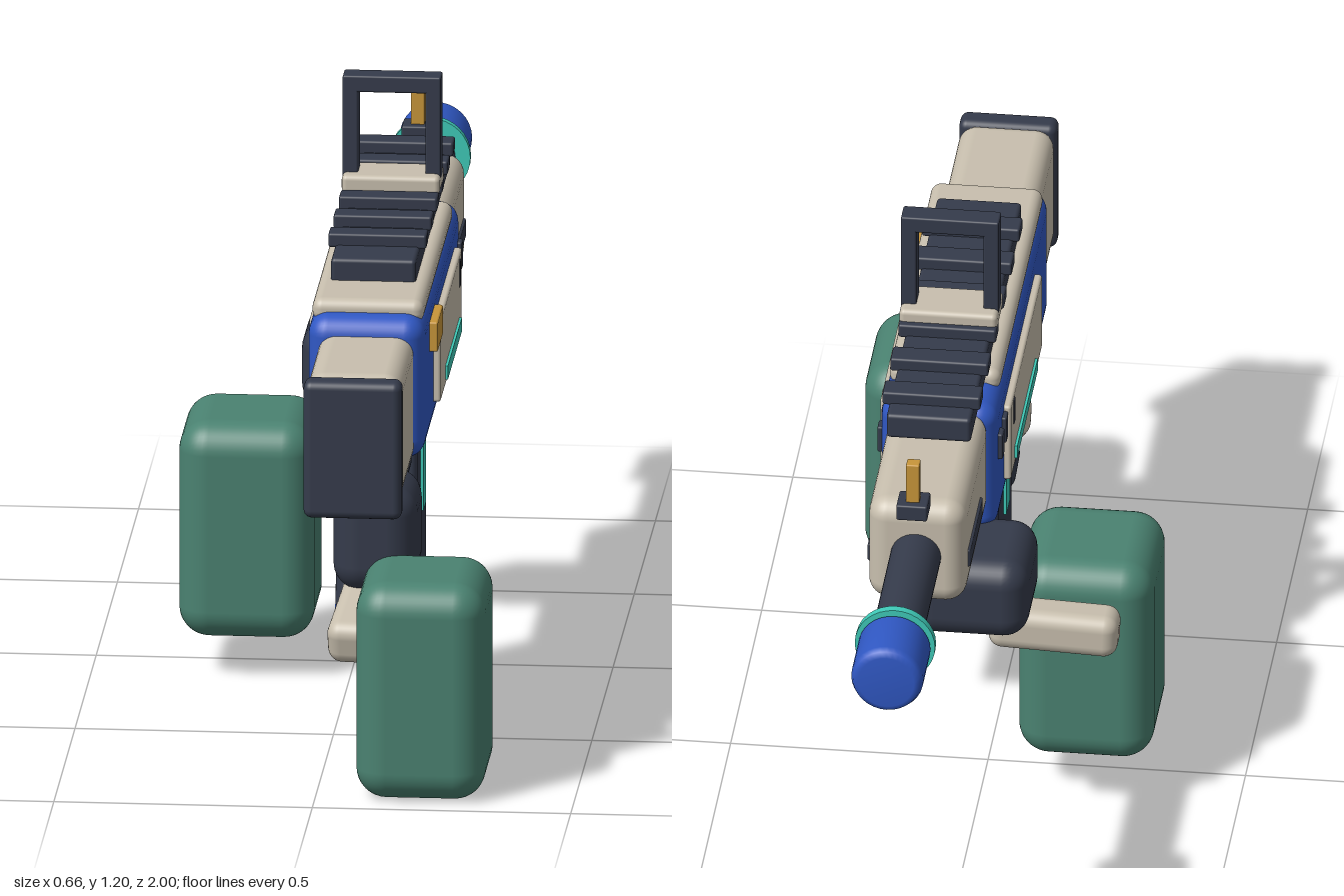
import * as THREE from 'three';
import { RoundedBoxGeometry } from 'three/addons/geometries/RoundedBoxGeometry.js';

const material = (name, color) => {
  const m = new THREE.MeshStandardMaterial({ color });
  m.name = name;
  return m;
};

export function createModel() {
  const dark = material('charcoal', 0x353b4b);
  const cream = material('cream', 0xc8bfae);
  const blue = material('blue', 0x3058c4);
  const green = material('sleeve green', 0x4a8271);
  const teal = material('teal', 0x3fcab8);
  const gold = material('gold', 0xc8963a);

  const model = new THREE.Group();
  model.name = 'toyBlaster';
  const CX = 0.077; // centre line of the blaster
  const BARREL_Y = 0.768;

  const add = (name, geometry, mat, parent = model) => {
    const mesh = new THREE.Mesh(geometry, mat);
    mesh.name = name;
    parent.add(mesh);
    return mesh;
  };

  // Box given by its extents, rounded when r > 0
  const block = (name, mat, [x0, x1], [y0, y1], [z0, z1], r = 0, parent = model) => {
    const w = x1 - x0, h = y1 - y0, d = z1 - z0;
    const g = r ? new RoundedBoxGeometry(w, h, d, 4, r) : new THREE.BoxGeometry(w, h, d);
    const mesh = add(name, g, mat, parent);
    mesh.position.set((x0 + x1) / 2, (y0 + y1) / 2, (z0 + z1) / 2);
    return mesh;
  };
  // Block centred on the blaster's centre line
  const mid = (name, mat, width, y, z, r = 0) =>
    block(name, mat, [CX - width / 2, CX + width / 2], y, z, r);

  // Stock, receiver and handguard
  mid('buttPad', dark, 0.19, [0.58, 0.855], [0.948, 1], 0.016);
  mid('stock', cream, 0.184, [0.597, 0.855], [0.64, 0.96], 0.035);
  mid('receiver', blue, 0.226, [0.605, 0.89], [-0.17, 0.683], 0.04);
  mid('topCover', cream, 0.216, [0.868, 0.914], [-0.067, 0.635], 0.02);
  mid('handguard', cream, 0.19, [0.657, 0.88], [-0.525, -0.14], 0.04);

  // Top rail with teeth
  mid('rail', dark, 0.164, [0.905, 0.957], [-0.32, 0.5], 0.008);
  for (let i = 0; i < 6; i++) {
    const z = 0.382 - i * 0.1265;
    mid('railTooth', dark, 0.19, [0.952, 0.98], [z - 0.025, z + 0.025], 0.005);
  }

  // Rear sight frame
  mid('sightBase', cream, 0.19, [0.968, 1.004], [-0.008, 0.094], 0.01);
  for (const s of [-1, 1]) {
    const x = CX + s * 0.08;
    block('sightPost', dark, [x - 0.015, x + 0.015], [0.99, 1.196], [0.02, 0.066], 0.004);
  }
  mid('sightTopBar', dark, 0.19, [1.164, 1.197], [0.02, 0.066], 0.004);

  // Front sight
  mid('frontSightBase', dark, 0.06, [0.887, 0.92], [-0.593, -0.534], 0.004);
  mid('frontSightPost', gold, 0.026, [0.915, 1.003], [-0.577, -0.551], 0.003);

  // Barrel, ring and muzzle
  const tube = (name, mat, radius, z0, z1) => {
    const mesh = add(name, new THREE.CylinderGeometry(radius, radius, z1 - z0, 32), mat);
    mesh.rotation.x = Math.PI / 2;
    mesh.position.set(CX, BARREL_Y, (z0 + z1) / 2);
  };
  tube('barrel', dark, 0.049, -0.87, -0.5);
  tube('muzzleRing', teal, 0.078, -0.86, -0.843);
  const muzzleProfile = [[0, 0.858], [0.06, 0.858], [0.07, 0.868], [0.07, 0.982],
    [0.065, 0.994], [0.054, 1], [0, 1]].map(([r, y]) => new THREE.Vector2(r, y));
  const muzzle = add('muzzle', new THREE.LatheGeometry(muzzleProfile, 32), blue);
  muzzle.rotation.x = -Math.PI / 2;
  muzzle.position.set(CX, BARREL_Y, 0);

  // Magazine
  mid('magazine', dark, 0.152, [0.22, 0.62], [0.17, 0.4], 0.012);
  mid('magazineBase', blue, 0.166, [0.195, 0.243], [0.163, 0.404], 0.016);

  // Details repeated on both sides
  for (const s of [-1, 1]) {
    const side = (name, mat, inner, outer, y, z, r = 0) => {
      const a = CX + s * inner, b = CX + s * outer;
      block(name, mat, [Math.min(a, b), Math.max(a, b)], y, z, r);
    };
    side('sidePlate', cream, 0.1, 0.127, [0.66, 0.825], [-0.045, 0.456], 0.006);
    side('lightStrip', teal, 0.124, 0.132, [0.674, 0.701], [0.015, 0.345]);
    side('magazineLight', teal, 0.074, 0.082, [0.4, 0.548], [0.255, 0.314]);
    side('handguardSlot', dark, 0.08, 0.1, [0.719, 0.757], [-0.474, -0.272], 0.004);
    for (const z of [0.004, -0.059, -0.121])
      side('vent', dark, 0.1, z > 0 ? 0.129 : 0.122, [0.76, 0.816],
        z > 0 ? [-0.004, 0.015] : [z - 0.015, z + 0.015], 0.004);
  }
  block('ejectionTab', gold, [0.18, 0.206], [0.788, 0.848], [0.424, 0.548], 0.004);

  // Pistol grip
  mid('gripMount', dark, 0.135, [0.51, 0.63], [0.4, 0.64], 0.02);
  const grip = mid('grip', dark, 0.124, [0.27, 0.635], [0.515, 0.64], 0.03);
  grip.rotation.x = -0.16;

  // Hands
  block('rearHand', dark, [0.015, 0.178], [0.35, 0.563], [0.53, 0.74], 0.055);
  block('frontHand', dark, [-0.115, 0.115], [0.464, 0.632], [-0.335, -0.11], 0.05);

  // Sleeve with two cuff bars; side mirrors the arm across x
  const bar = (parent, a, b, size) => {
    const from = new THREE.Vector3(...a), to = new THREE.Vector3(...b);
    const g = new RoundedBoxGeometry(size, size, from.distanceTo(to), 4, 0.028);
    const mesh = add('cuffBar', g, cream, parent);
    mesh.position.lerpVectors(from, to, 0.5);
    mesh.lookAt(to);
  };
  const arm = (name, side, x, y, z, width) => {
    const g = new THREE.Group();
    g.name = name;
    const inner = -width / 2;
    add('sleeve', new RoundedBoxGeometry(width, 0.433, 0.284, 5, 0.06), green, g);
    bar(g, [0.075, 0.115, -0.185], [inner - 0.045, 0.125, -0.185], 0.088);
    bar(g, [inner + 0.005, 0.128, -0.215], [inner - 0.022, 0.06, 0.02], 0.088);
    if (side < 0) g.children.forEach((m) => {
      m.position.x *= -1;
      m.rotation.set(m.rotation.x, -m.rotation.y, -m.rotation.z);
    });
    g.position.set(x, y, z);
    model.add(g);
  };
  arm('frontArm', -1, -0.2, 0.294, 0.016, 0.262);
  arm('rearArm', 1, 0.203, 0.217, 0.826, 0.25);

  return model;
}
